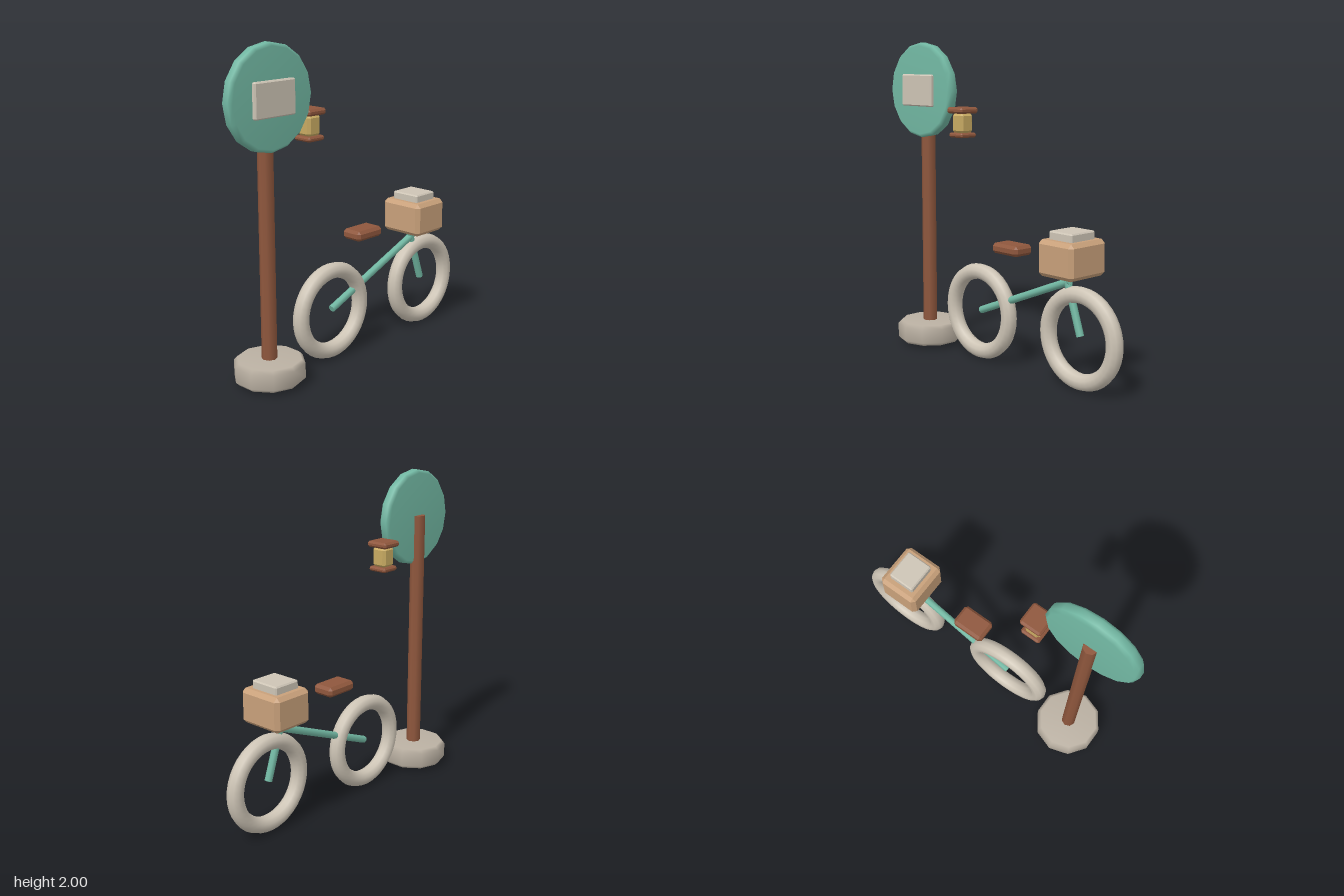
import * as THREE from 'three';
import { ConvexGeometry } from 'three/addons/geometries/ConvexGeometry.js';

const paint = (name, color) => {
  const m = new THREE.MeshStandardMaterial({ color });
  m.name = name;
  return m;
};

export function createModel() {
  const teal = paint('teal', 0x72b8a3);
  const brown = paint('brown wood', 0x8f573d);
  const cream = paint('cream', 0xcdc4b5);
  const stone = paint('stone', 0xbab0a2);
  const wicker = paint('wicker', 0xc8a07a);
  const amber = paint('amber glass', 0xc8aa62);

  const model = new THREE.Group();
  model.name = 'bicycleAndSign';

  const add = (parent, name, geometry, material, x = 0, y = 0, z = 0) => {
    const mesh = new THREE.Mesh(geometry, material);
    mesh.name = name;
    mesh.position.set(x, y, z);
    parent.add(mesh);
    return mesh;
  };
  const group = (name) => {
    const g = new THREE.Group();
    g.name = name;
    model.add(g);
    return g;
  };

  // Box with chamfered edges: three face points around each corner
  const chamferBox = (w, h, d, b) => {
    const pts = [];
    for (const i of [-1, 1]) for (const j of [-1, 1]) for (const k of [-1, 1]) {
      const x = w / 2, y = h / 2, z = d / 2;
      pts.push(
        new THREE.Vector3(i * x, j * (y - b), k * (z - b)),
        new THREE.Vector3(i * (x - b), j * y, k * (z - b)),
        new THREE.Vector3(i * (x - b), j * (y - b), k * z));
    }
    return new ConvexGeometry(pts);
  };

  // Softly shaded disc with chamfered rims
  const disc = (r, h, b, sides) => new THREE.LatheGeometry([
    [0, -h / 2], [r - b, -h / 2], [r, b - h / 2],
    [r, h / 2 - b], [r - b, h / 2], [0, h / 2],
  ].map(([x, y]) => new THREE.Vector2(x, y)), sides);

  // Straight rod between two points
  const rod = (parent, name, from, to, r, material) => {
    const a = new THREE.Vector3(...from), b = new THREE.Vector3(...to);
    const dir = b.clone().sub(a);
    const mesh = add(parent, name, new THREE.CylinderGeometry(r, r, dir.length(), 8), material);
    mesh.position.copy(a).add(b).multiplyScalar(0.5);
    mesh.quaternion.setFromUnitVectors(new THREE.Vector3(0, 1, 0), dir.normalize());
    return mesh;
  };

  // Sign post
  const sign = group('signPost');
  const px = -0.69;
  add(sign, 'base', disc(0.215, 0.135, 0.022, 10), stone, px, 0.0875, 0);
  rod(sign, 'pole', [px, 0.12, 0], [px, 1.71, 0], 0.046, brown);
  add(sign, 'signDisc', disc(0.306, 0.082, 0.02, 16), teal, px, 1.695, 0.035).rotation.x = Math.PI / 2;
  add(sign, 'notice', chamferBox(0.3, 0.205, 0.04, 0.008), cream, px, 1.695, 0.08);

  // Lantern beside the sign
  const lantern = group('lantern');
  const lx = -0.346;
  add(lantern, 'lanternCap', chamferBox(0.145, 0.038, 0.148, 0.012), brown, lx, 1.577, 0);
  add(lantern, 'lanternGlass', chamferBox(0.1, 0.125, 0.1, 0.016), amber, lx, 1.496, 0);
  add(lantern, 'lanternFoot', chamferBox(0.128, 0.03, 0.128, 0.01), brown, lx, 1.421, 0);

  // Bicycle
  const bike = group('bicycle');
  for (const [name, x] of [['rearWheel', -0.174], ['frontWheel', 0.682]])
    add(bike, name, new THREE.TorusGeometry(0.257, 0.05, 10, 40), cream, x, 0.308, 0);
  rod(bike, 'frameTube', [-0.17, 0.316, 0], [0.595, 0.632, 0], 0.023, teal);
  rod(bike, 'fork', [0.555, 0.69, 0], [0.68, 0.32, 0], 0.023, teal);
  add(bike, 'seat', chamferBox(0.22, 0.064, 0.146, 0.018), brown, 0.11, 0.753, 0);
  add(bike, 'basket', chamferBox(0.274, 0.215, 0.304, 0.024), wicker, 0.606, 0.774, 0);
  add(bike, 'parcel', chamferBox(0.18, 0.07, 0.2, 0.008), cream, 0.606, 0.895, 0);

  return model;
}
